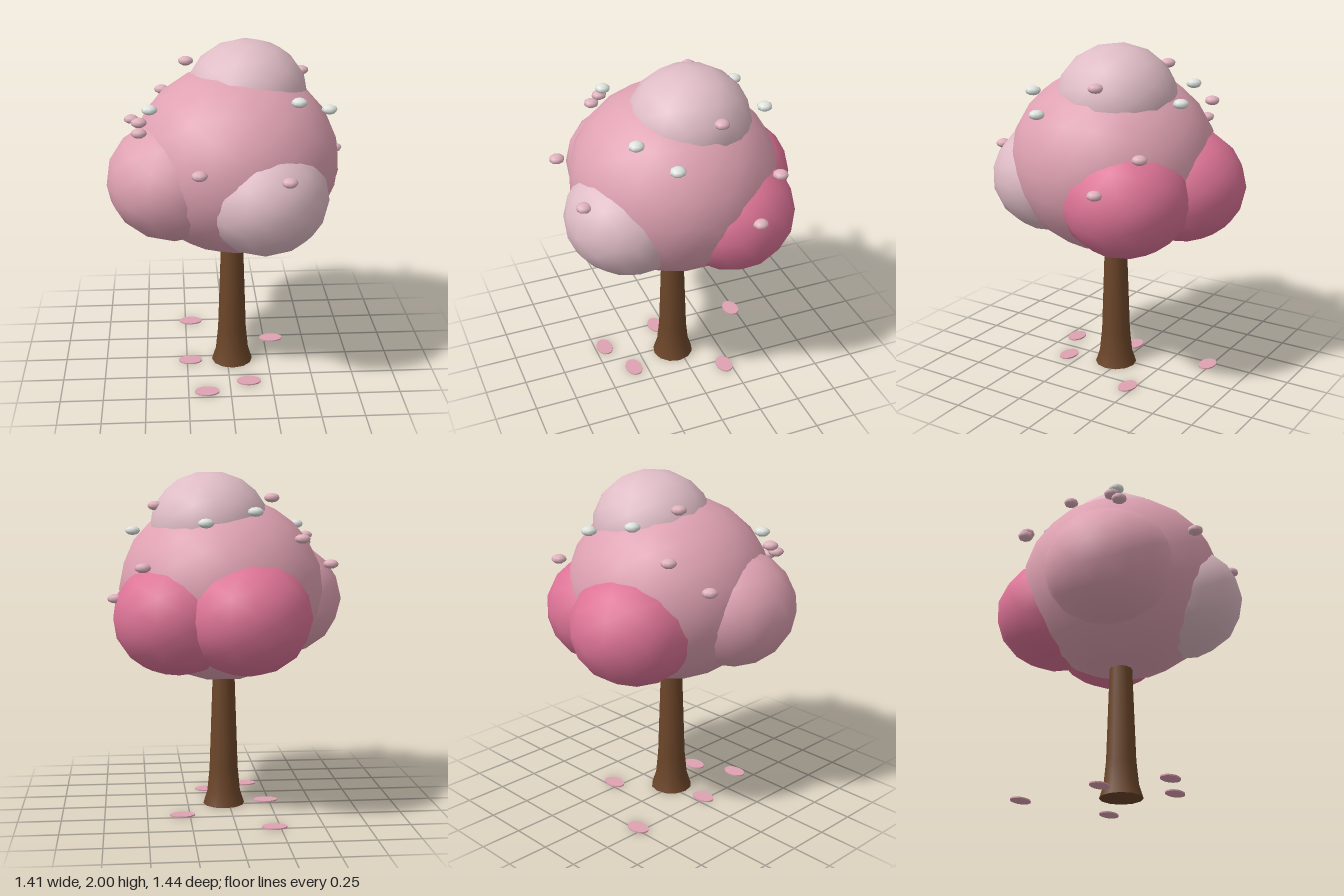
import * as THREE from 'three';

const material = (name, color) => {
  const m = new THREE.MeshStandardMaterial({ color });
  m.name = name;
  return m;
};

export function createModel() {
  const tree = new THREE.Group();
  tree.name = 'blossomTree';

  const bark = material('bark', 0x6b4529);
  const pink = material('pink', 0xdfa2b2);
  const palePink = material('palePink', 0xdfbcc6);
  const deepPink = material('deepPink', 0xde7497);
  const white = material('white', 0xdfe4df);
  const blossomPink = material('blossomPink', 0xdfb2bd);

  const add = (name, geometry, mat, [x, y, z]) => {
    const mesh = new THREE.Mesh(geometry, mat);
    mesh.name = name;
    mesh.position.set(x, y, z);
    tree.add(mesh);
    return mesh;
  };

  // Trunk with a flared foot, closed underneath
  const profile = [[0.125, 0], [0.1, 0.08], [0.086, 0.22], [0.066, 0.8], [0.06, 1]]
    .map(([r, y]) => new THREE.Vector2(r, y));
  add('trunk', new THREE.LatheGeometry(profile, 12), bark, [0.03, 0, 0.035]);
  add('trunkBase', new THREE.CircleGeometry(0.125, 12).rotateX(Math.PI / 2), bark, [0.03, 0, 0.035]);

  // Foliage: slightly flattened round masses
  const foliage = [
    ['mainCanopy', pink, 0.605, 3, [0.045, 1.32, 0.035]],
    ['rightCanopy', pink, 0.385, 2, [-0.315, 1.245, 0.175]],
    ['frontCanopy', palePink, 0.365, 2, [0.19, 1.2, 0.365]],
    ['leftBackCanopy', deepPink, 0.375, 2, [0.315, 1.18, -0.205]],
    ['backCanopy', deepPink, 0.37, 2, [-0.07, 1.19, -0.36]],
    ['topCanopy', palePink, 0.355, 2, [0.115, 1.685, -0.03]],
  ];
  for (const [name, mat, r, detail, at] of foliage) {
    add(name, new THREE.IcosahedronGeometry(r, detail), mat, at).scale.y = 0.91;
  }

  // Small blossoms scattered over the canopy
  const blossom = new THREE.SphereGeometry(0.045, 8, 6).scale(1, 0.6, 1);
  const pinkSpots = [
    [-0.23, 1.855, -0.165], [-0.375, 1.63, -0.385], [-0.56, 1.48, -0.26],
    [0.515, 1.475, -0.415], [0.67, 1.29, -0.23], [0.435, 1.81, -0.09],
    [-0.5, 1.62, 0.295], [-0.5, 1.575, 0.345], [-0.18, 1.43, 0.66], [0.3, 1.38, 0.65],
  ];
  const whiteSpots = [
    [-0.11, 1.78, -0.4], [0.17, 1.72, -0.47], [0.565, 1.655, 0.21],
    [0.375, 1.74, 0.37], [-0.44, 1.69, 0.29],
  ];
  pinkSpots.forEach((p) => add('pinkBlossom', blossom, blossomPink, p));
  whiteSpots.forEach((p) => add('whiteBlossom', blossom, white, p));

  // Fallen petals on the ground
  const petal = new THREE.CylinderGeometry(1, 1, 0.008, 16).scale(0.073, 1, 0.05);
  const petalSpots = [[-0.216, -0.48], [-0.23, 0.055], [0.295, -0.21], [-0.14, 0.44], [0.115, 0.33]];
  petalSpots.forEach(([x, z]) => add('fallenPetal', petal, pink, [x, 0.005, z]));

  return tree;
}
